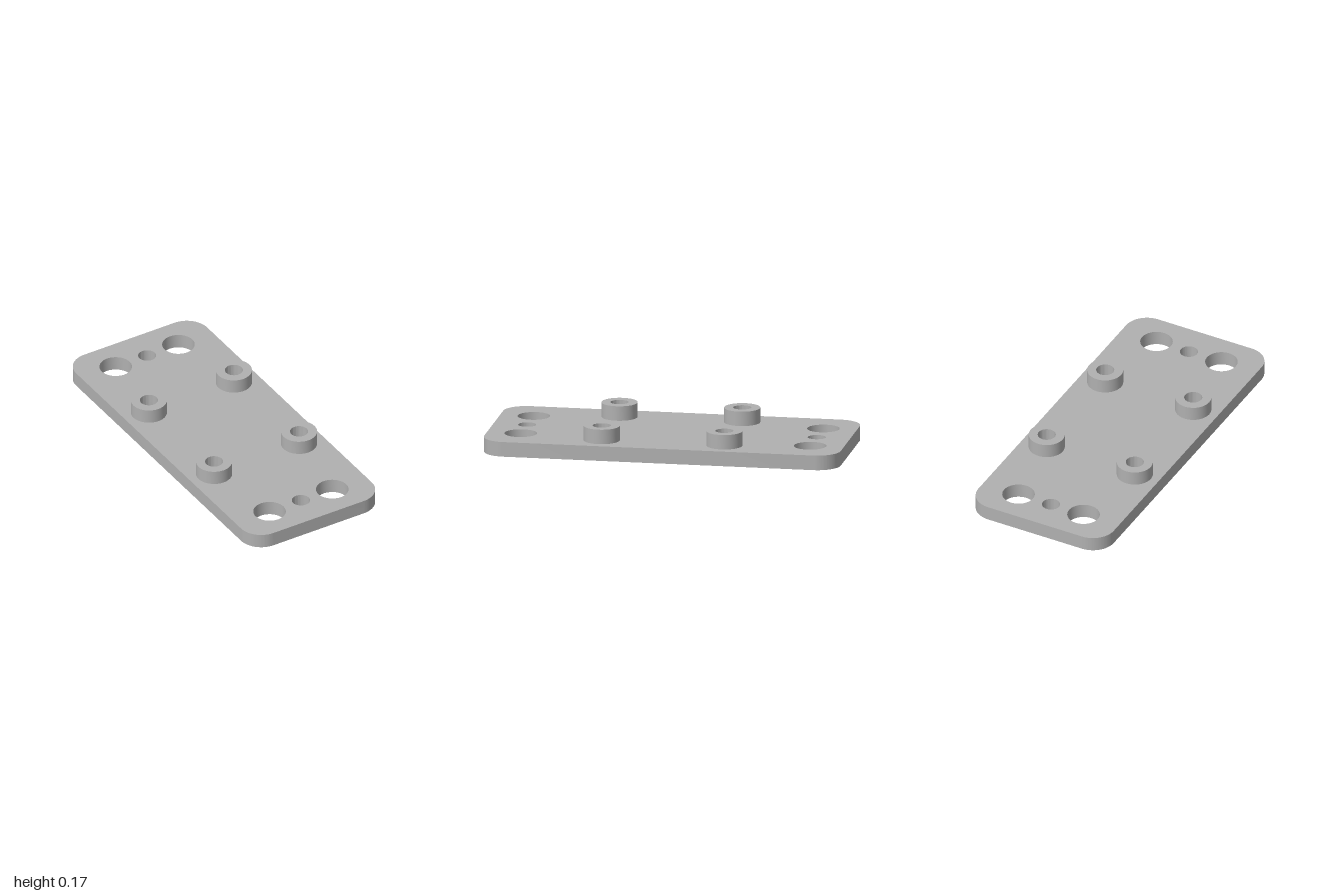
import * as THREE from 'three';
import { toCreasedNormals } from 'three/addons/utils/BufferGeometryUtils.js';

const W = 0.423, L = 1, R = 0.13;         // plate half width, half length, corner radius
const THICK = 0.083, TOP = 0.165;         // plate thickness, boss top
const BOSS_X = 0.275, BOSS_Z = 0.344, BOSS_R = 0.1, BORE_R = 0.05;
const SIDES = [-1, 1];

function addHole(shape, x, y, r) {
  const hole = new THREE.Path();
  hole.absarc(x, y, r, 0, Math.PI * 2, true);
  shape.holes.push(hole);
}

function plateShape() {
  const s = new THREE.Shape();
  s.absarc(W - R, L - R, R, 0, Math.PI / 2);
  s.absarc(-W + R, L - R, R, Math.PI / 2, Math.PI);
  s.absarc(-W + R, -L + R, R, Math.PI, Math.PI * 1.5);
  s.absarc(W - R, -L + R, R, Math.PI * 1.5, Math.PI * 2);
  s.closePath();
  for (const sz of SIDES) {
    addHole(s, 0, sz * 0.812, 0.05);
    for (const sx of SIDES) {
      addHole(s, sx * 0.203, sz * 0.812, 0.09);
      addHole(s, sx * BOSS_X, sz * BOSS_Z, BOSS_R);
    }
  }
  return s;
}

export function createModel() {
  const model = new THREE.Group();
  model.name = 'mountingPlate';
  const grey = new THREE.MeshStandardMaterial({ color: 0xb0b0b0 });
  grey.name = 'grey';

  // Rounded plate with through holes
  const plateGeo = new THREE.ExtrudeGeometry(plateShape(), {
    depth: THICK, bevelEnabled: false, curveSegments: 24,
  });
  plateGeo.rotateX(-Math.PI / 2);
  const plate = new THREE.Mesh(toCreasedNormals(plateGeo, 0.5), grey);
  plate.name = 'plate';
  model.add(plate);

  // Hollow bosses, each with a countersink opening under the plate
  const profile = [
    [BOSS_R, 0], [BOSS_R, TOP], [BORE_R, TOP], [BORE_R, 0.05], [BOSS_R, 0],
  ].map(([r, y]) => new THREE.Vector2(r, y));
  const bossGeo = toCreasedNormals(new THREE.LatheGeometry(profile, 48), 0.5);
  for (const sx of SIDES) for (const sz of SIDES) {
    const boss = new THREE.Mesh(bossGeo, grey);
    boss.name = (sz > 0 ? 'front' : 'back') + (sx > 0 ? 'Left' : 'Right') + 'Boss';
    boss.position.set(sx * BOSS_X, 0, sz * BOSS_Z);
    model.add(boss);
  }
  return model;
}
